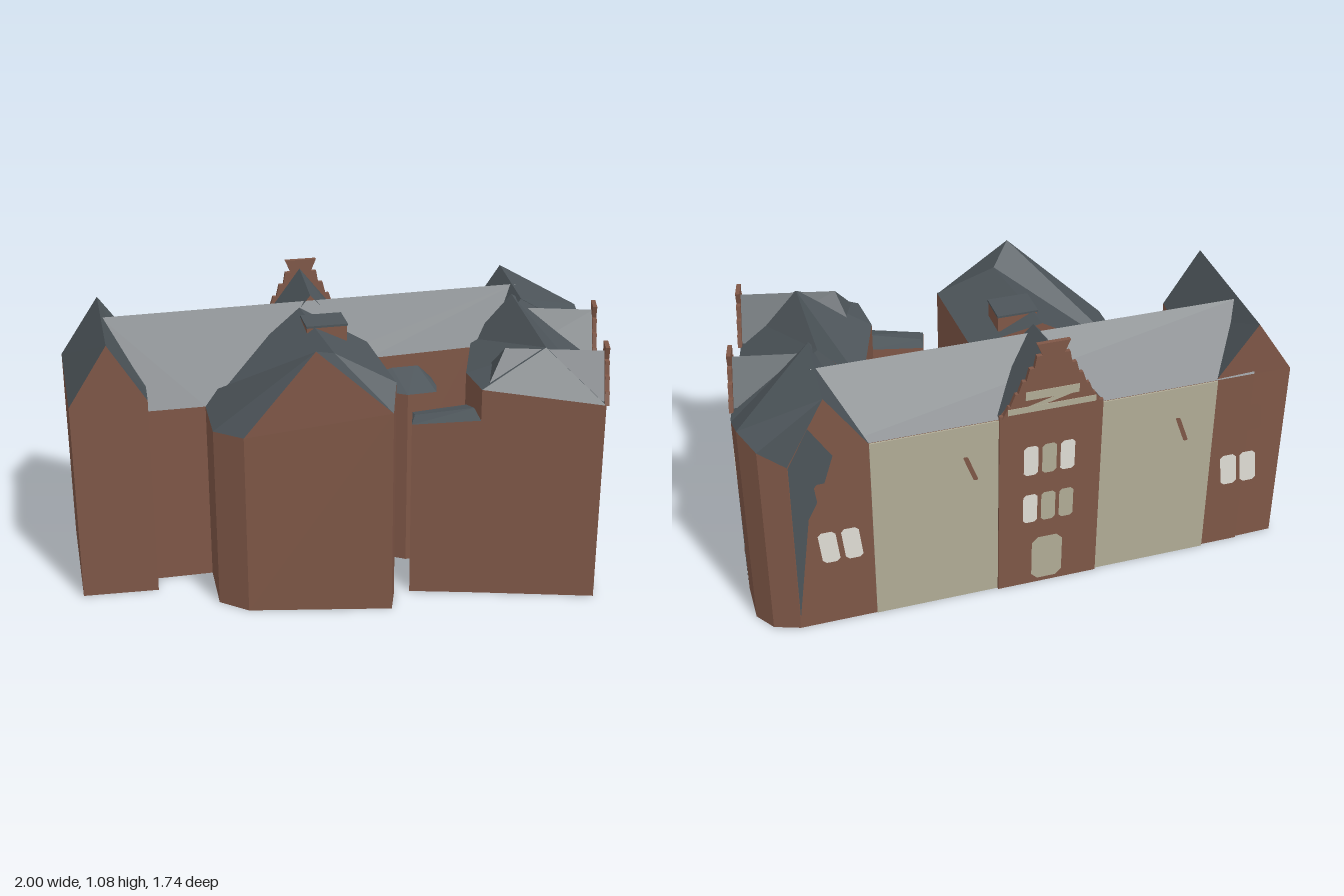
import * as THREE from 'three';

const material = (name, color) => {
  const m = new THREE.MeshStandardMaterial({ color, side: THREE.DoubleSide });
  m.name = name;
  return m;
};

export function createModel() {
  const brick = material('brick', 0x7f5747);
  const slate = material('slate', 0x4d555a);
  const plaster = material('plaster', 0xb1ac96);
  const glass = material('paleGlass', 0xe0ded6);

  const model = new THREE.Group();
  model.name = 'steppedGableBuilding';
  // Everything is laid out along the long back wall, which is turned in plan
  const site = new THREE.Group();
  site.name = 'site';
  site.rotation.y = -0.511;
  model.add(site);

  const faceMesh = (name, corners, mat) => {
    const g = new THREE.BufferGeometry();
    g.setAttribute('position', new THREE.Float32BufferAttribute(corners.flat(), 3));
    g.computeVertexNormals();
    const m = new THREE.Mesh(g, mat);
    m.name = name;
    return m;
  };

  // A hollow wing: corners are [x, z, eave height, ridge point]; edges listed in
  // gables get brick ends, edges listed in open have no wall (they join another wing)
  function wing(name, corners, ridge, gables = [], open = []) {
    const walls = [], roof = [];
    const quad = (list, a, b, c, d) => list.push(a, b, c, a, c, d);
    const low = ([x, z]) => [x, 0, z];
    const high = ([x, z, h]) => [x, h, z];
    corners.forEach((p, i) => {
      const q = corners[(i + 1) % corners.length];
      const rp = high(ridge[p[3]]), rq = high(ridge[q[3]]);
      if (!open.includes(i)) quad(walls, low(q), low(p), high(p), high(q));
      if (p[3] !== q[3]) quad(roof, high(q), high(p), rp, rq);
      else if (gables.includes(i)) walls.push(high(q), high(p), rp);
      else if (!open.includes(i)) roof.push(high(q), high(p), rp);
    });
    const g = new THREE.Group();
    g.name = name;
    g.add(faceMesh(name + 'Walls', walls, brick), faceMesh(name + 'Roof', roof, slate));
    site.add(g);
  }

  wing('mainRange',
    [[-0.92, -0.41, 0.78, 0], [0.7, -0.41, 0.78, 1], [0.7, -0.035, 0.81, 1], [0.47, -0.035, 0.81, 1],
      [0.06, -0.03, 0.8, 1], [-0.572, 0.063, 0.7, 0], [-0.79, 0.063, 0.7, 0], [-0.92, 0.063, 0.7, 0]],
    [[-0.92, -0.2, 0.98], [0.69, -0.21, 0.99]], [], [1, 2, 4, 6, 7]);
  // Roof slopes over the joints of the main range
  site.add(faceMesh('mainRoofJoints', [
    [0.47, 0.81, -0.035], [0.7, 0.81, -0.035], [0.69, 0.99, -0.21],
    [-0.92, 0.7, 0.063], [-0.79, 0.7, 0.063], [-0.92, 0.98, -0.2]], slate));
  wing('westRange',
    [[-1.07, -0.4, 0.77, 0], [-0.77, -0.407, 0.78, 0], [-0.785, 0.063, 0.77, 1],
      [-0.79, 0.15, 0.78, 1], [-1.07, 0.136, 0.77, 1]],
    [[-0.92, -0.406, 0.99], [-0.925, 0.143, 1.0]], [0, 3], [1]);
  wing('eastCorner',
    [[0.54, -0.415, 0.78, 0], [0.83, -0.415, 0.74, 0], [0.925, -0.381, 0.8, 0],
      [0.976, -0.305, 0.85, 1], [0.973, -0.145, 0.78, 1], [0.5, -0.034, 0.8, 1]],
    [[0.69, -0.415, 1.0], [0.66, -0.04, 0.99]], [0], [4, 5]);
  wing('eastWing',
    [[0.485, -0.1, 0.82, 0], [0.973, -0.145, 0.78, 0], [0.8, 0.542, 0.78, 1],
      [0.374, 0.423, 0.83, 1], [0.362, 0.256, 0.83, 1]],
    [[0.64, -0.1, 0.99], [0.62, 0.38, 0.955]], [], [0]);
  wing('lowAnnex',
    [[0.164, 0.252, 0.69, 0], [0.37, 0.27, 0.71, 1], [0.374, 0.423, 0.71, 1], [0.134, 0.36, 0.69, 0]],
    [[0.16, 0.3, 0.7], [0.37, 0.35, 0.73]], [], [1]);
  // Doubled corners let the ridge bend down behind the gable
  wing('centreWing',
    [[-0.572, -0.05, 0.7, 0], [0.06, -0.05, 0.86, 0], [0.075, 0.359, 0.86, 1], [0.04, 0.47, 0.79, 1],
      [0.04, 0.47, 0.79, 2], [-0.479, 0.372, 0.7, 2], [-0.577, 0.289, 0.7, 2], [-0.572, -0.05, 0.7, 1]],
    [[-0.18, -0.15, 0.98], [-0.138, 0.306, 0.968], [-0.223, 0.405, 1.02]], [4], [0]);
  wing('courtyardBay',
    [[0.07, -0.1, 0.7, 0], [0.31, -0.1, 0.7, 1], [0.307, 0.057, 0.7, 1],
      [0.292, 0.111, 0.7, 1], [0.18, 0.117, 0.7, 0], [0.074, 0.05, 0.7, 0]],
    [[0.15, -0.05, 0.76], [0.25, -0.05, 0.76]], [], [0]);
  wing('crossGable',
    [[-0.32, -0.412, 0.79, 0], [0.07, -0.412, 0.79, 0], [0.07, -0.17, 0.79, 1], [-0.32, -0.17, 0.79, 1]],
    [[-0.13, -0.412, 1.045], [-0.13, -0.19, 1.01]], [0], [1, 2, 3]);

  // Cross roofs running in from the two small street gables
  const gableCentres = [0.115, 0.54];
  const fromStreet = (s, t, h, r) => [0.8 + 0.244 * s - 0.97 * t, 0.542 - 0.97 * s - 0.244 * t, h, r];
  gableCentres.forEach((s, i) => {
    const depth = [0.43, 0.26][i], end = [0.36, 0.26][i];
    wing('streetCrossRoof',
      [fromStreet(s + 0.1, 0, 0.79, 0), fromStreet(s - 0.1, 0, 0.79, 0),
        fromStreet(s - 0.1, depth, 0.82, 1), fromStreet(s + 0.1, depth, 0.82, 1)],
      [fromStreet(s, 0, 0.945), fromStreet(s, end, 0.95)], [0], [1, 2, 3]);
    if (i === 0) {
      const [a, b, c] = [fromStreet(s + 0.1, depth, 0.82), fromStreet(s - 0.1, depth, 0.82), fromStreet(s, end, 0.95)]
        .map(([x, z, h]) => [x, h, z]);
      site.add(faceMesh('streetCrossRoofHip', [a, b, c], slate));
    }
  });

  // Small rooftop box beside the centre ridge
  const box = (parent, name, size, pos, mat) => {
    const m = new THREE.Mesh(new THREE.BoxGeometry(...size), mat);
    m.name = name;
    m.position.set(...pos);
    parent.add(m);
  };
  box(site, 'roofBox', [0.15, 0.06, 0.12], [-0.115, 0.945, 0], brick);
  box(site, 'roofBoxLid', [0.155, 0.008, 0.125], [-0.115, 0.978, 0], slate);

  // Facades: local x runs along the wall, z points outward
  const facade = (name, x, z, turn) => {
    const g = new THREE.Group();
    g.name = name;
    g.position.set(x, 0, z);
    g.rotation.y = turn;
    site.add(g);
    return g;
  };
  const back = facade('backFacade', 0, -0.415, Math.PI);
  const side = facade('streetFacade', 0.8, 0.542, 1.324);

  const plate = (parent, name, points, z, mat) => {
    const shape = new THREE.Shape(points.map(([x, y]) => new THREE.Vector2(x, y)));
    const m = new THREE.Mesh(new THREE.ShapeGeometry(shape), mat);
    m.name = name;
    m.position.z = z;
    parent.add(m);
  };
  // Window pane with clipped corners, optionally slanted
  const pane = (parent, x, y0, y1, w, mat, slant = 0, z = 0.004) => {
    const a = w / 2, c = w * 0.2, h = y1 - y0;
    const pts = [[-a + c, 0], [a - c, 0], [a, c], [a, h - c], [a - c, h], [-a + c, h], [-a, h - c], [-a, c]];
    plate(parent, 'window', pts.map(([px, py]) => [x + px + slant * (py / h - 0.5), y0 + py]), z, mat);
  };

  // Stepped gable of tapering tiers with a flared top stone
  function steppedGable(parent, name, x, y0, y1, width, tiers, z) {
    const half = [], h = (y1 - y0) / tiers;
    for (let i = 0; i < tiers; i++) {
      const w = (width / 2) * (1 - (0.78 * i) / (tiers - 1)), top = i === tiers - 1;
      half.push([w, y0 + i * h], [w * (top ? 1.5 : 0.88), y0 + (i + 1) * h]);
    }
    const all = [...half, ...half.map(([a, b]) => [-a, b]).reverse()];
    const shape = new THREE.Shape(all.map(([a, b]) => new THREE.Vector2(x + a, b)));
    const m = new THREE.Mesh(new THREE.ExtrudeGeometry(shape, { depth: 0.016, bevelEnabled: false }), brick);
    m.name = name;
    m.position.z = z - 0.016;
    parent.add(m);
  }

  // Street facade: gables, slate strip and three rows of windows
  for (const s of gableCentres) steppedGable(side, 'smallSteppedGable', s, 0.78, 0.97, 0.23, 4, 0.01);
  plate(side, 'slateStrip', [[0.59, 0.78], [0.69, 0.78], [0.706, 0.03]], 0.002, slate);
  const columns = [0.095, 0.255, 0.416, 0.533, 0.655];
  const rows = [[0.05, 0.2], [0.28, 0.43], [0.52, 0.65]];
  const whole = ['2-0', '2-2', '3-2', '4-2'];
  const slim = ['0-0', '1-2', '4-1'];
  columns.forEach((x, c) => rows.forEach(([y0, y1], r) => {
    const key = c + '-' + r;
    if (whole.includes(key)) pane(side, x, y0, y1, 0.078, glass);
    else if (slim.includes(key)) pane(side, x, y0, y1, 0.025, glass, 0.04);
    else pane(side, x, y0, y1, 0.06, brick, 0.04);
  }));
  pane(side, 0.05, 0.03, 0.2, 0.025, glass, 0.04);

  // Back facade: plaster bays either side of the brick centre
  box(back, 'plasterBay', [0.45, 0.78, 0.006], [0.545, 0.39, 0], plaster);
  box(back, 'plasterBay', [0.47, 0.78, 0.006], [-0.305, 0.39, 0], plaster);
  box(back, 'centreBay', [0.39, 0.8, 0.014], [0.125, 0.4, 0.004], brick);
  steppedGable(back, 'largeSteppedGable', 0.125, 0.79, 1.08, 0.37, 6, 0.013);
  box(back, 'plasterBand', [0.33, 0.025, 0.006], [0.125, 0.815, 0.012], plaster);
  box(back, 'plasterBand', [0.2, 0.035, 0.006], [0.125, 0.872, 0.012], plaster);
  plate(back, 'plasterBrace', [[0.03, 0.828], [0.1, 0.828], [0.2, 0.855], [0.13, 0.855]], 0.015, plaster);
  for (const [i, x] of [0.05, 0.12, 0.19].entries()) {
    pane(back, x, 0.52, 0.65, 0.055, i === 1 ? plaster : glass, 0, 0.014);
    pane(back, x, 0.3, 0.43, 0.055, i === 0 ? glass : plaster, 0, 0.014);
  }
  pane(back, 0.12, 0.02, 0.22, 0.12, plaster, 0, 0.014);
  for (const x of [-0.175, 0.64]) pane(back, x, 0.54, 0.65, 0.018, brick, -0.04, 0.006);

  // Windows and slate patch on the two end gables
  plate(back, 'slatePatch',
    [[-0.828, 0.05], [-0.828, 0.74], [-0.75, 0.89], [-0.67, 0.76], [-0.72, 0.6], [-0.77, 0.5]], 0.003, slate);
  for (const x of [-0.705, -0.62, 0.85, 0.93]) {
    pane(back, x, 0.29, 0.43, 0.065, glass, -0.015, 0.005);
    pane(back, x, 0.53, 0.65, 0.065, brick, -0.015, 0.005);
  }
  for (const x of [-0.65, 0.87]) pane(back, x, 0.03, 0.13, 0.03, brick, -0.03, 0.005);

  return model;
}
